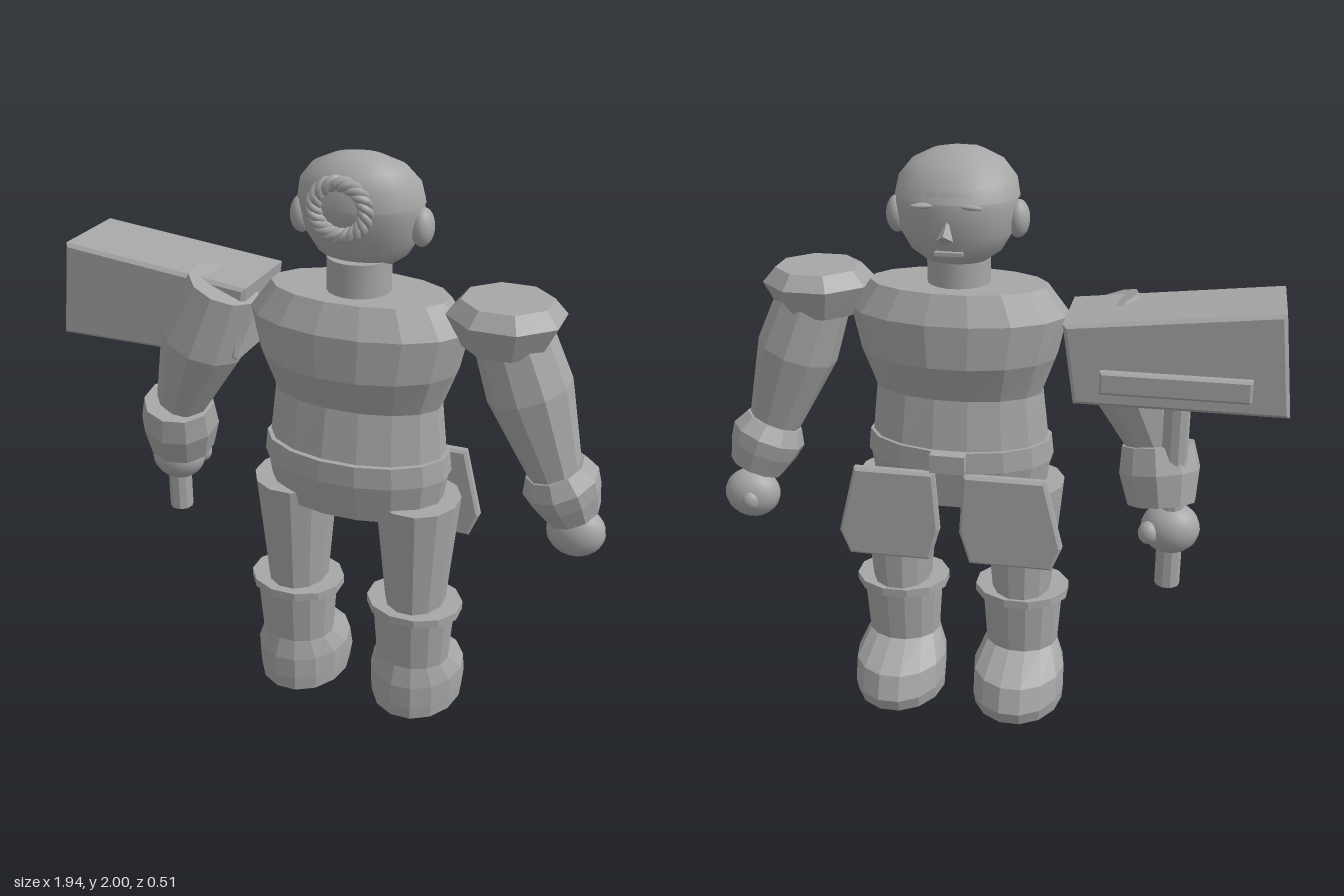
import * as THREE from 'three';

const CX = 0.12; // body centre line
const grey = new THREE.MeshStandardMaterial({ color: 0xa6a6a6 });
grey.name = 'plain grey';

// Closed loft through elliptical rings [y, half width, z back, z front], bottom to top
function loft(rings, sides, smooth = false) {
  const pos = [], idx = [], n = rings.length;
  const addRing = ([y, hx, zb, zf]) => {
    for (let i = 0; i < sides; i++) {
      const a = ((i + 0.5) / sides) * Math.PI * 2;
      pos.push(hx * Math.sin(a), y, (zb + zf) / 2 + ((zb - zf) / 2) * Math.cos(a));
    }
  };
  rings.forEach(addRing);
  for (let r = 0; r < n - 1; r++) for (let i = 0; i < sides; i++) {
    const a = r * sides + i, b = r * sides + ((i + 1) % sides);
    idx.push(a, b, b + sides, a, b + sides, a + sides);
  }
  for (const top of [false, true]) {
    const ring = top ? rings[n - 1] : rings[0], start = pos.length / 3;
    addRing(ring);
    pos.push(0, ring[0], (ring[2] + ring[3]) / 2);
    for (let i = 0; i < sides; i++) {
      const a = start + i, b = start + ((i + 1) % sides);
      idx.push(start + sides, top ? a : b, top ? b : a);
    }
  }
  let g = new THREE.BufferGeometry();
  g.setAttribute('position', new THREE.Float32BufferAttribute(pos, 3));
  g.setIndex(idx);
  if (!smooth) g = g.toNonIndexed();
  g.computeVertexNormals();
  return g;
}

// Helical strand running around the hair ring
class Strand extends THREE.Curve {
  constructor(phase) { super(); this.phase = phase; }
  getPoint(t, out = new THREE.Vector3()) {
    const a = t * Math.PI * 2, b = a * 6 + this.phase, r = 0.083 + 0.013 * Math.cos(b);
    return out.set(r * Math.cos(a), r * Math.sin(a), 0.013 * Math.sin(b));
  }
}

export function createModel() {
  const model = new THREE.Group();
  model.name = 'figure';
  const add = (name, geo, x = 0, y = 0, z = 0) => {
    const m = new THREE.Mesh(geo, grey);
    m.name = name;
    m.position.set(x, y, z);
    model.add(m);
    return m;
  };
  const ball = (name, p, s) => add(name, new THREE.SphereGeometry(1, 20, 14), ...p).scale.set(...s);
  // Round tapered limb between two points; profile is [fraction, radius]
  const limb = (name, from, to, profile, sides = 10) => {
    const a = new THREE.Vector3(...from), d = new THREE.Vector3(...to).sub(a), len = d.length();
    const m = add(name, loft(profile.map(([t, r]) => [t * len, r, r, -r]), sides), ...from);
    m.quaternion.setFromUnitVectors(new THREE.Vector3(0, 1, 0), d.normalize());
  };
  // Bevelled plate from an outline, between two z values
  const plate = (name, pts, z0, z1, bevel) => {
    const shape = new THREE.Shape(pts.map(p => new THREE.Vector2(...p)));
    const g = new THREE.ExtrudeGeometry(shape, {
      depth: z1 - z0 - 2 * bevel, bevelEnabled: true, bevelThickness: bevel,
      bevelSize: bevel, bevelOffset: -bevel, bevelSegments: 1,
    });
    return add(name, g, 0, 0, z0 + bevel);
  };

  // Torso, belt and skirt
  add('torso', loft([
    [1.0, 0.31, 0.225, -0.15], [1.19, 0.29, 0.19, -0.12], [1.32, 0.338, 0.25, -0.175],
    [1.465, 0.37, 0.25, -0.175], [1.56, 0.3, 0.2, -0.13],
  ], 16), CX);
  add('belt', loft([[0.945, 0.328, 0.242, -0.162], [1.02, 0.32, 0.24, -0.16]], 16), CX);
  add('skirt', loft([[0.8, 0.3, 0.2, -0.125], [0.95, 0.322, 0.232, -0.15]], 16), CX);
  add('buckle', new THREE.BoxGeometry(0.12, 0.065, 0.04), CX, 0.988, -0.172);
  add('neck', loft([[1.52, 0.105, 0.145, -0.065], [1.67, 0.105, 0.145, -0.065]], 20, true), CX);

  // Head and hair
  add('head', loft([
    [1.645, 0.1, 0.09, -0.07], [1.68, 0.15, 0.12, -0.1], [1.74, 0.185, 0.155, -0.125],
    [1.83, 0.2, 0.187, -0.14], [1.9, 0.188, 0.19, -0.125], [1.96, 0.13, 0.15, -0.06],
    [1.985, 0.05, 0.1, 0.02],
  ], 28, true), CX);
  add('hair', loft([
    [1.85, 0.204, 0.196, -0.139], [1.91, 0.192, 0.196, -0.118], [1.96, 0.15, 0.168, -0.07],
    [1.99, 0.085, 0.125, -0.01], [2.0, 0.035, 0.08, 0.03],
  ], 24, true), CX);
  for (let i = 0; i < 3; i++) {
    const g = new THREE.TubeGeometry(new Strand((i * Math.PI * 2) / 3), 90, 0.013, 6, true);
    add('hairRing', g, CX, 1.865, 0.217).rotation.x = 0.1;
  }

  // Face, looking towards -z
  const nose = add('nose', new THREE.ConeGeometry(0.028, 0.08, 4).toNonIndexed(), CX, 1.775, -0.145);
  nose.geometry.computeVertexNormals();
  nose.rotation.x = 0.75;
  add('mouth', new THREE.BoxGeometry(0.09, 0.012, 0.03), CX, 1.69, -0.108);

  for (const s of [-1, 1]) {
    const side = s > 0 ? 'left' : 'right', lx = CX + s * 0.222;
    ball(side + 'Ear', [CX + s * 0.2, 1.78, 0.027], [0.037, 0.062, 0.048]);
    const brow = add(side + 'Brow', new THREE.SphereGeometry(1, 10, 6), CX + s * 0.075, 1.845, -0.128);
    brow.scale.set(0.045, 0.009, 0.018);
    brow.rotation.y = s * 0.35;

    // Leg, boot rim and boot
    add(side + 'Leg', loft([[0.38, 0.1, 0.15, -0.09], [0.85, 0.145, 0.2, -0.115]], 12), lx);
    add(side + 'BootRim', loft([[0.405, 0.17, 0.188, -0.105], [0.435, 0.17, 0.188, -0.105]], 12), lx);
    add(side + 'Boot', loft([
      [0, 0.162, 0.173, -0.228], [0.05, 0.167, 0.178, -0.246], [0.135, 0.166, 0.177, -0.212],
      [0.21, 0.132, 0.158, -0.075], [0.41, 0.146, 0.18, -0.093],
    ], 14), lx);

    // Hanging hip plate
    plate(side + 'HipPlate', [
      [0.05, 0.945], [0.33, 0.945], [0.39, 0.7], [0.355, 0.613], [0.07, 0.613], [0.035, 0.73],
    ].map(([u, y]) => [CX + s * u, y]), -0.18, -0.14, 0.01);
  }

  // Left arm with shoulder pad
  add('leftShoulderPad', loft([
    [1.435, 0.135, 0.135, -0.135], [1.54, 0.19, 0.185, -0.185], [1.59, 0.145, 0.145, -0.145],
  ], 8), 0.602, 0, 0.035);
  limb('leftArm', [0.615, 1.49, 0.025], [0.795, 0.99, 0.0], [[0, 0.125], [0.4, 0.14], [1, 0.085]]);
  limb('leftCuff', [0.785, 1.025, 0.0], [0.852, 0.855, -0.035],
    [[0, 0.1], [0.3, 0.13], [0.6, 0.12], [1, 0.095]]);
  ball('leftHand', [0.862, 0.765, -0.068], [0.1, 0.09, 0.075]);
  ball('leftThumb', [0.85, 0.76, -0.12], [0.035, 0.04, 0.035]);

  // Right arm
  limb('rightArm', [-0.36, 1.507, 0.04], [-0.555, 1.03, 0.02], [[0, 0.122], [0.45, 0.15], [1, 0.09]]);
  limb('rightCuff', [-0.565, 1.035, 0.02], [-0.59, 0.84, -0.03],
    [[0, 0.125], [0.45, 0.14], [1, 0.118]]);
  ball('rightHand', [-0.625, 0.765, -0.065], [0.1, 0.09, 0.085]);
  ball('rightThumb', [-0.555, 0.765, -0.12], [0.035, 0.04, 0.035]);

  // Hammer: slanted block on a handle with a raised side panel
  plate('hammerHead', [
    [-0.975, 1.255], [-0.3, 1.255], [-0.262, 1.515], [-0.938, 1.59],
  ], -0.232, 0.085, 0.012);
  plate('hammerPanel', [
    [-0.855, 1.305], [-0.385, 1.305], [-0.385, 1.38], [-0.855, 1.38],
  ], -0.262, -0.228, 0.008);
  limb('hammerHandle', [-0.625, 0.55, -0.065], [-0.625, 1.3, -0.065], [[0, 0.043], [1, 0.043]]);

  return model;
}
